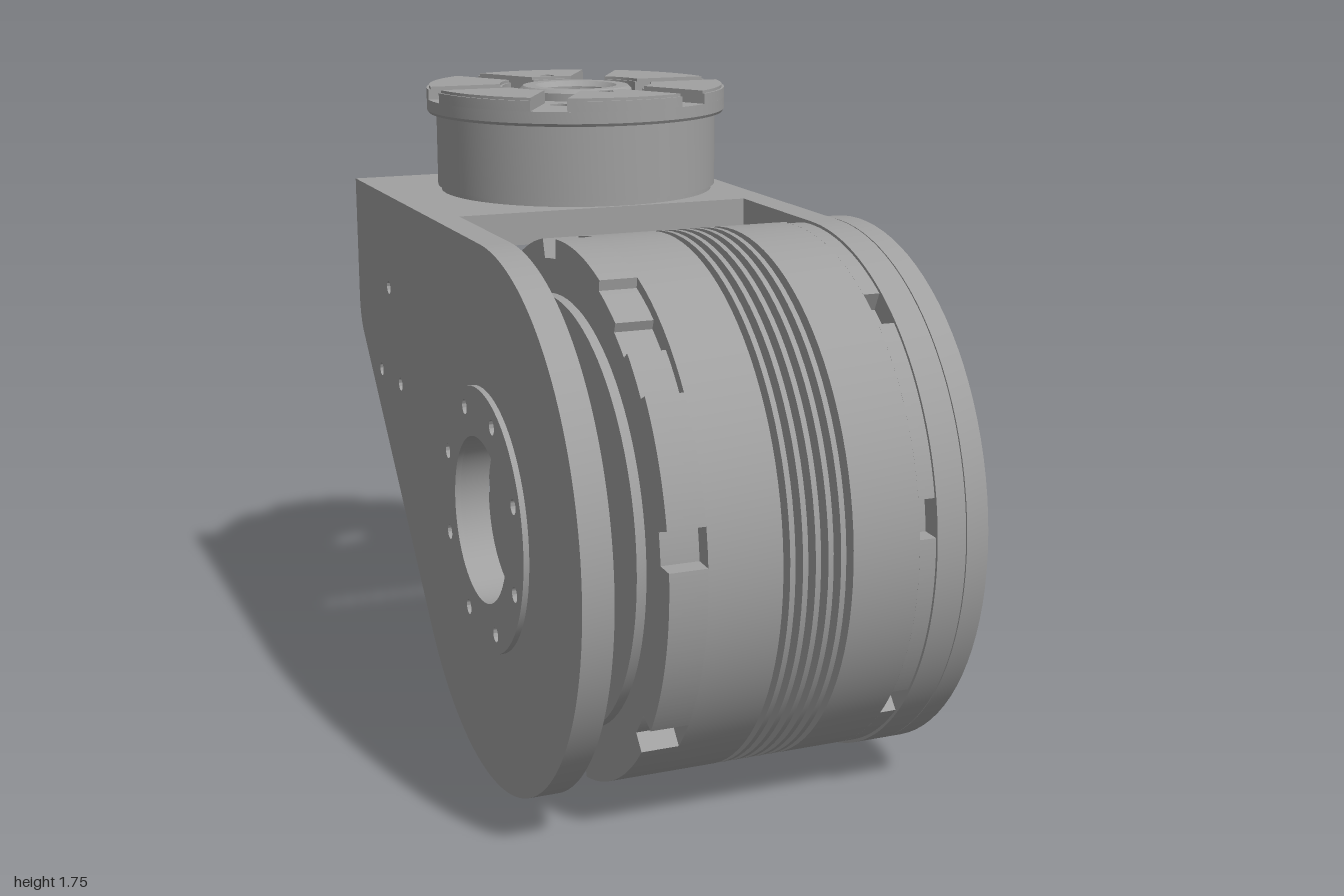
import * as THREE from 'three';
import { toCreasedNormals } from 'three/addons/utils/BufferGeometryUtils.js';

const MOTOR = { s: -0.28, y: 0.73, r: 0.725 }; // s is -z
const TURRET = { x: -0.015, s: 0.565 };
const deg = Math.PI / 180;

export function createModel() {
  const model = new THREE.Group();
  const metal = new THREE.MeshStandardMaterial({ color: 0xa0a0a0 });
  metal.name = 'grey metal';

  const add = (name, geo, parent = model) => {
    const mesh = new THREE.Mesh(toCreasedNormals(geo, 0.5), metal);
    mesh.name = name;
    parent.add(mesh);
    return mesh;
  };
  const circle = (cx, cy, r, Type = THREE.Path) => new Type().absarc(cx, cy, r, 0, Math.PI * 2, false);
  const extrude = (shape, depth) => new THREE.ExtrudeGeometry(shape, { depth, bevelEnabled: false, curveSegments: 48 });
  // shape drawn in (-z, y), thickness from x0 to x1
  const sidePlate = (name, shape, x0, x1) =>
    add(name, extrude(shape, x1 - x0).rotateY(Math.PI / 2).translate(x0, 0, 0));
  // shape drawn in (x, -z), thickness from y0 to y1
  const levelPlate = (name, shape, y0, y1) =>
    add(name, extrude(shape, y1 - y0).rotateX(-Math.PI / 2).translate(0, y0, 0));
  const lathe = (pts, seg = 96) => new THREE.LatheGeometry(pts.map(p => new THREE.Vector2(...p)), seg);
  const motorLathe = (name, pts) =>
    add(name, lathe(pts).rotateZ(-Math.PI / 2).translate(0, MOTOR.y, -MOTOR.s));
  const turretLathe = (name, pts) => add(name, lathe(pts).translate(TURRET.x, 0, -TURRET.s));
  const around = (c, n, start, fn) => {
    for (let i = 0; i < n; i++) {
      const a = start + i * 2 * Math.PI / n;
      fn(c.r * Math.cos(a) + c.x, c.r * Math.sin(a) + c.y, i, a);
    }
  };

  // Bracket: two cheeks and a top plate
  const cheek = () => {
    const s = new THREE.Shape();
    s.moveTo(MOTOR.s, 1.455);
    s.lineTo(0.97, 1.455);
    s.lineTo(0.97, 1.1);
    s.quadraticCurveTo(0.97, 1.03, 0.94, 0.99);
    s.absarc(MOTOR.s, MOTOR.y, MOTOR.r, -42.4 * deg, Math.PI / 2, true);
    s.holes.push(circle(0.52, 0.91, 0.019), circle(0.73, 0.91, 0.019));
    return s;
  };
  const leftOutline = cheek();
  leftOutline.holes.push(circle(MOTOR.s, MOTOR.y, 0.22), circle(0.62, 1.18, 0.019));
  sidePlate('rightCheek', leftOutline, -0.585, -0.505);

  const window_ = new THREE.Path();
  window_.moveTo(0.33, 1.36);
  window_.lineTo(0.79, 1.36);
  window_.lineTo(0.79, 1.13);
  window_.quadraticCurveTo(0.79, 1.02, 0.68, 1.02);
  window_.lineTo(0.47, 1.02);
  window_.quadraticCurveTo(0.36, 1.06, 0.33, 1.2);
  window_.closePath();
  const rightOutline = cheek();
  rightOutline.holes.push(circle(MOTOR.s, MOTOR.y, 0.25), window_);
  sidePlate('leftCheek', rightOutline, 0.345, 0.425);

  const top = new THREE.Shape([[-0.507, 0.155], [0.347, 0.155], [0.347, 0.97], [-0.507, 0.97]]
    .map(p => new THREE.Vector2(...p)));
  top.holes.push(circle(TURRET.x, TURRET.s, 0.29));
  around({ x: TURRET.x, y: TURRET.s, r: 0.355 }, 12, 15 * deg, (x, y) => top.holes.push(circle(x, y, 0.016)));
  levelPlate('topPlate', top, 1.365, 1.455);

  // Bearing boss on the outer face of the cheek
  const boss = circle(MOTOR.s, MOTOR.y, 0.352, THREE.Shape);
  boss.holes.push(circle(MOTOR.s, MOTOR.y, 0.22));
  around({ x: MOTOR.s, y: MOTOR.y, r: 0.3 }, 8, 22.5 * deg, (x, y) => boss.holes.push(circle(x, y, 0.02)));
  sidePlate('bearingBoss', boss, -0.6, -0.585);

  // Motor body with cooling fins
  const body = [[0, -0.25], [0.16, -0.25], [0.16, -0.39], [0.575, -0.39], [0.575, -0.365],
    [0.655, -0.365], [0.655, -0.265], [0.717, -0.265], [0.717, -0.07], [0.66, -0.07]];
  for (let i = 0; i < 5; i++) {
    const x = -0.052 + i * 0.034;
    body.push([0.66, x], [0.717, x], [0.717, x + 0.014], [0.66, x + 0.014]);
  }
  body.push([0.66, 0.118], [0.717, 0.118], [0.717, 0.3], [0.655, 0.3], [0.655, 0.345], [0, 0.345]);
  motorLathe('motorBody', body);

  // Notched rims at both ends of the body, a notch every 45 degrees
  const notchedRim = (name, x0, x1, wide) => {
    const pts = [];
    for (let d = 0; d < 360; d += 0.5) {
      const off = ((d - 8 + 22.5 + 360) % 45) - 22.5;
      let r = 0.717;
      if (wide && d > 38 && d < 68) r = 0.69;
      if (Math.abs(off) < 3.6) r = 0.665;
      pts.push(new THREE.Vector2(MOTOR.s - r * Math.cos(d * deg), MOTOR.y + r * Math.sin(d * deg)));
    }
    const rim = new THREE.Shape(pts);
    rim.holes.push(circle(MOTOR.s, MOTOR.y, 0.64));
    sidePlate(name, rim, x0, x1);
  };
  notchedRim('innerRim', -0.365, -0.265, true);
  notchedRim('outerRim', 0.3, 0.345, false);

  // Bolted flange with alternating large and small holes
  const flange = circle(MOTOR.s, MOTOR.y, MOTOR.r, THREE.Shape);
  flange.holes.push(circle(MOTOR.s, MOTOR.y, 0.4));
  around({ x: MOTOR.s, y: MOTOR.y, r: 0.667 }, 12, Math.PI / 2, (x, y, i) =>
    flange.holes.push(circle(x, y, i % 2 ? 0.031 : 0.05)));
  sidePlate('flange', flange, 0.428, 0.488);

  // Stepped cover and hollow output hub
  motorLathe('coverAndHub', [[0.25, 0.345], [0.25, 0.427], [0.565, 0.485], [0.565, 0.52], [0.54, 0.54],
    [0.325, 0.54], [0.325, 0.583], [0.308, 0.6], [0.255, 0.6], [0.25, 0.585], [0.22, 0.585],
    [0.18, 0.56], [0.18, 0.345]]);
  around({ x: MOTOR.s, y: MOTOR.y, r: 0.138 }, 6, 7 * deg, (s, y) => {
    const head = circle(s, y, 0.03, THREE.Shape);
    head.holes.push(circle(s, y, 0.014));
    sidePlate('hubBolt', head, 0.345, 0.37);
  });

  // Turret drum with an overhanging rim
  turretLathe('turretDrum', [[0.295, 1.455], [0.4, 1.455], [0.4, 1.47], [0.41, 1.47], [0.41, 1.682],
    [0.432, 1.682], [0.437, 1.69], [0.437, 1.723], [0.295, 1.723], [0.295, 1.455]]);
  const deck = circle(TURRET.x, TURRET.s, 0.297, THREE.Shape);
  deck.holes.push(circle(TURRET.x, TURRET.s, 0.12));
  const ring = { x: TURRET.x, y: TURRET.s, r: 0.253 };
  around(ring, 6, 0, (x, y) => deck.holes.push(circle(x, y, 0.03)));
  around(ring, 2, Math.PI / 2, (x, y) => deck.holes.push(circle(x, y, 0.021)));
  levelPlate('turretDeck', deck, 1.6, 1.723);
  turretLathe('turretSleeve', [[0.105, 1.56], [0.14, 1.56], [0.165, 1.6], [0.165, 1.745], [0.155, 1.755],
    [0.12, 1.755], [0.105, 1.74], [0.105, 1.56]]);

  // Six raised pads with parallel-sided slots between them
  around({ x: 0, y: 0, r: 0 }, 6, 30 * deg, (_x, _y, i, mid) => {
    const arc = (r, dir) => {
      const half = 30 * deg - Math.asin(0.052 / r);
      return Array.from({ length: 13 }, (_, k) => {
        const a = mid + dir * half * (k / 6 - 1);
        return new THREE.Vector2(TURRET.x + r * Math.cos(a), TURRET.s + r * Math.sin(a));
      });
    };
    const pad = (ro, ri) => {
      const shape = new THREE.Shape([...arc(ro, 1), ...arc(ri, -1)]);
      if (i % 3 === 1) shape.holes.push(circle(TURRET.x + 0.253 * Math.cos(mid), TURRET.s + 0.253 * Math.sin(mid), 0.021));
      return shape;
    };
    levelPlate('turretPad', pad(0.437, 0.215), 1.723, 1.752);
    levelPlate('turretPadTop', pad(0.43, 0.222), 1.752, 1.76);
  });

  // Bridges closing the bracket corners at the top plate
  for (const [x, dir] of [[-0.505, 1], [0.345, -1]]) {
    const fillet = new THREE.Shape();
    fillet.moveTo(x, 1.366);
    fillet.lineTo(x + dir * 0.025, 1.366);
    fillet.quadraticCurveTo(x, 1.366, x, 1.341);
    fillet.closePath();
    add('cornerFillet', extrude(fillet, 0.81).translate(0, 0, -0.968));
  }
  return model;
}
